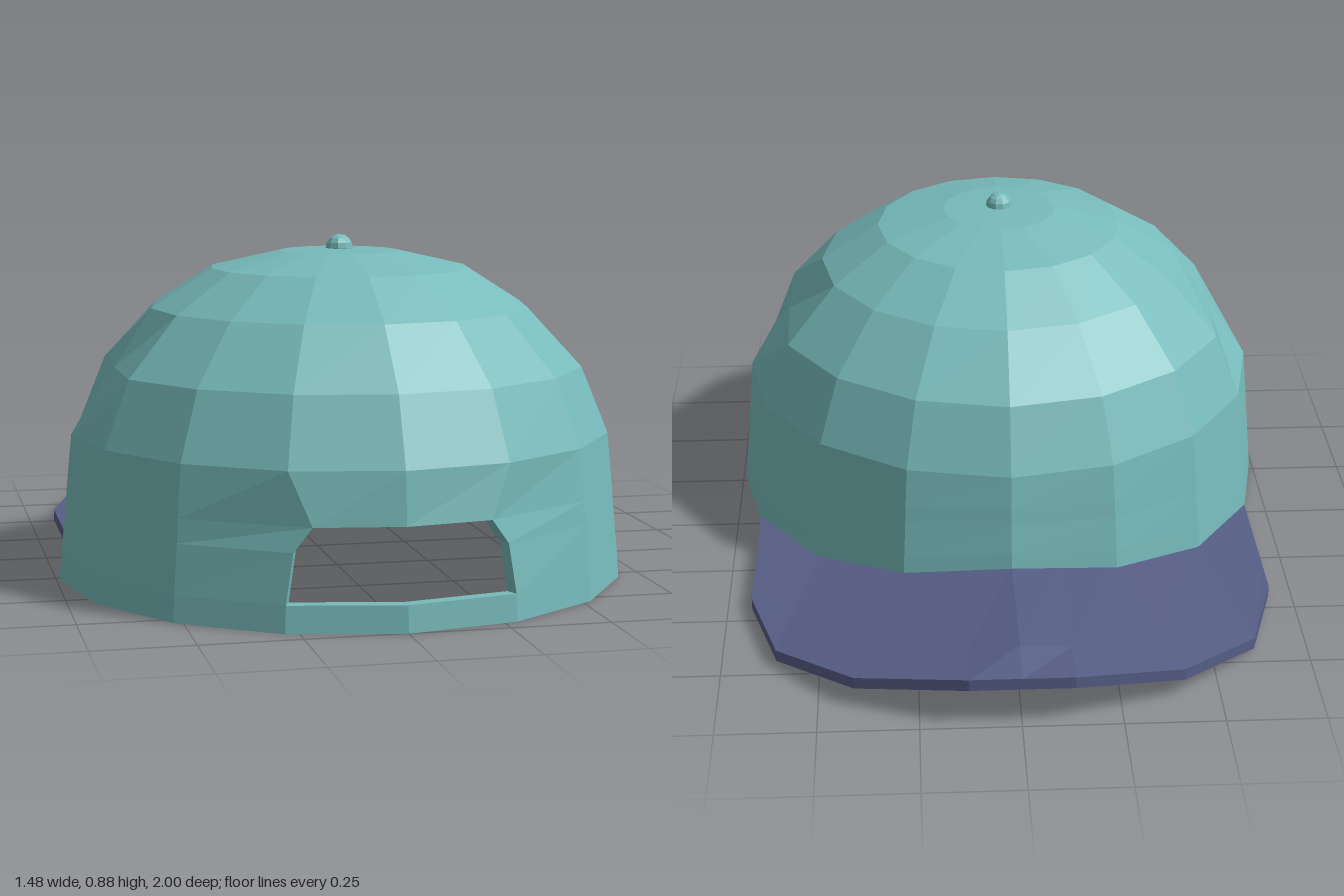
import * as THREE from 'three';

const SIDES = 16, CENTER_Z = 0.262;

// Thick flat-shaded shell between two point grids [column][row]; missing cells become holes with walls.
function shell(outer, inner, wrap, isOpen = () => false) {
  const cols = outer.length, rows = outer[0].length - 1;
  const cells = wrap ? cols : cols - 1;
  const pos = [];
  const tri = (a, b, c) => {
    const area = b.clone().sub(a).cross(c.clone().sub(a)).length();
    if (area > 1e-8) for (const p of [a, b, c]) pos.push(p.x, p.y, p.z);
  };
  const quad = (a, b, c, d) => { tri(a, b, c); tri(a, c, d); };
  const has = (i, j) => {
    if (wrap) i = (i + cols) % cols;
    return i >= 0 && i < cells && j >= 0 && j < rows && !isOpen(i, j);
  };
  for (let i = 0; i < cells; i++) for (let j = 0; j < rows; j++) {
    if (!has(i, j)) continue;
    const n = (i + 1) % cols;
    const ring = [[i, j], [n, j], [n, j + 1], [i, j + 1]];
    const o = ring.map(([c, r]) => outer[c][r]);
    const q = ring.map(([c, r]) => inner[c][r]);
    quad(...o);
    quad(q[3], q[2], q[1], q[0]);
    [[i, j - 1], [i + 1, j], [i, j + 1], [i - 1, j]].forEach(([c, r], k) => {
      const m = (k + 1) % 4;
      if (!has(c, r)) quad(o[k], q[k], q[m], o[m]);
    });
  }
  const g = new THREE.BufferGeometry();
  g.setAttribute('position', new THREE.Float32BufferAttribute(pos, 3));
  g.computeVertexNormals();
  return g;
}

// Crown: rings of [radius, height], column 0 at the opening side
function crownGeometry() {
  const rings = [[0.74, 0], [0.735, 0.067], [0.723, 0.19], [0.718, 0.25], [0.705, 0.38],
    [0.635, 0.55], [0.495, 0.70], [0.337, 0.80], [0.155, 0.842], [0, 0.85]];
  const lift = { 5: 0.02, 6: 0.045, 7: 0.083, 8: 0.12 }; // hem rises over the brim
  const openingX = { 2: 0.262, 3: 0.218 };               // opening narrows upward
  const grid = (t) => Array.from({ length: SIDES }, (_, i) => rings.map(([r, y], j) => {
    const side = i > SIDES / 2 ? -1 : 1;
    const k = side > 0 ? i : SIDES - i;
    if (j === 5 && k === 4) r = 0.592;
    let a = k * Math.PI * 2 / SIDES;
    if (k === 1 && openingX[j]) a = Math.asin(openingX[j] / r);
    const b = lift[k] || 0;
    const h = y < 0.38 ? b + y * (1 - b / 0.38) : y;
    const rr = Math.max(0, r - t);
    return new THREE.Vector3(side * Math.sin(a) * rr, h - t * (y / 0.85) ** 2, CENTER_Z + Math.cos(a) * rr);
  }));
  const isOpen = (i, j) => (i === 0 || i === SIDES - 1) && (j === 1 || j === 2);
  return shell(grid(0), grid(0.035), true, isOpen);
}

// Brim: columns running from the crown to the outer edge, mirrored across x
function brimGeometry() {
  const half = [
    [[0, 0.125, -0.46], [0, 0.157, -0.88], [0, 0.14, -1]],
    [[0.13, 0.107, -0.43], null, [0.13, 0.14, -1]],
    [[0.27, 0.088, -0.40], null, [0.41, 0.083, -0.895]],
    [[0.505, 0.05, -0.245], null, [0.61, 0.045, -0.71]],
    [[0.684, 0.035, -0.005], null, [0.685, 0.042, -0.46]],
  ].map(([a, m, b]) => {
    const p = new THREE.Vector3(...a), q = new THREE.Vector3(...b);
    return [p, m ? new THREE.Vector3(...m) : p.clone().lerp(q, 0.75), q];
  });
  const mirrored = half.slice(1).reverse().map(c => c.map(p => new THREE.Vector3(-p.x, p.y, p.z)));
  const top = [...mirrored, ...half];
  const bottom = top.map(c => c.map(p => new THREE.Vector3(p.x, p.y - 0.031, p.z)));
  return shell(top, bottom, false);
}

export function createModel() {
  const teal = new THREE.MeshStandardMaterial({ color: 0x78bbbb, flatShading: true });
  teal.name = 'teal fabric';
  const indigo = new THREE.MeshStandardMaterial({ color: 0x575e86, flatShading: true });
  indigo.name = 'indigo brim';

  const cap = new THREE.Group();
  cap.name = 'cap';
  const add = (name, geometry, material) => {
    const mesh = new THREE.Mesh(geometry, material);
    mesh.name = name;
    cap.add(mesh);
    return mesh;
  };
  add('crown', crownGeometry(), teal);
  add('brim', brimGeometry(), indigo);
  add('topButton', new THREE.SphereGeometry(0.036, 10, 8), teal).position.set(0, 0.849, 0.268);
  return cap;
}
